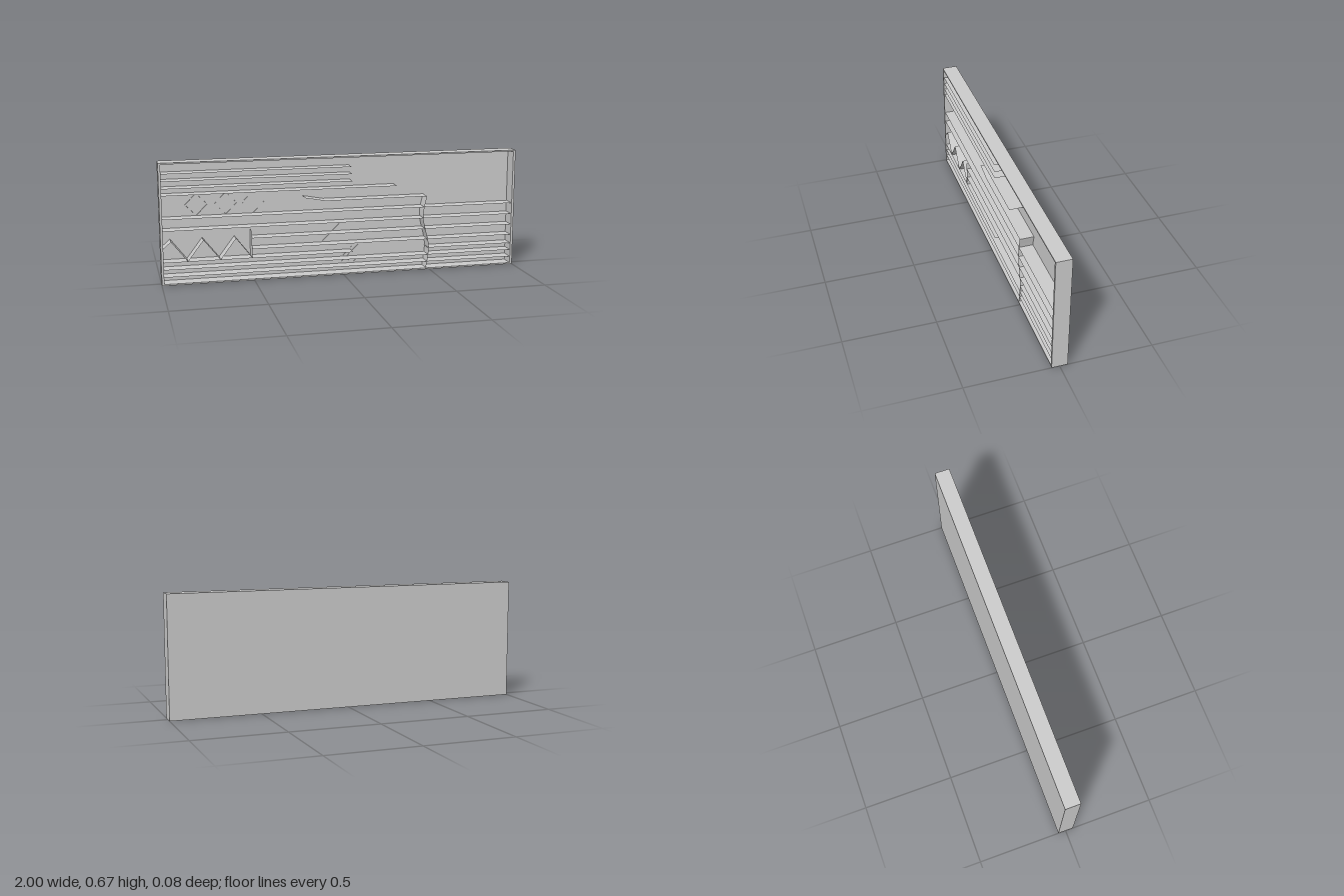
import * as THREE from 'three';

const W = 2, H = 0.665, D = 0.085;
const SIDE = 0.013, EDGE = 0.008;
const FLOOR = -0.037, FRONT = 0.04;
const IN = 1 - SIDE;

export function createModel() {
  const model = new THREE.Group();
  const mat = new THREE.MeshStandardMaterial({ color: 0xcccccc, flatShading: true });
  const thin = new THREE.MeshStandardMaterial({ color: 0xcccccc, flatShading: true, side: THREE.DoubleSide });

  const add = (name, geometry, material = mat) => {
    const mesh = new THREE.Mesh(geometry, material);
    mesh.name = name;
    model.add(mesh);
  };

  // Thin wall standing on the floor along a line of [x, y] points
  const wall = (name, points, top = FRONT) => {
    const pos = [], idx = [];
    points.forEach(([x, y], i) => {
      pos.push(x, y, FLOOR, x, y, top);
      if (i) {
        const a = 2 * (i - 1);
        idx.push(a, a + 2, a + 1, a + 1, a + 2, a + 3);
      }
    });
    const g = new THREE.BufferGeometry();
    g.setAttribute('position', new THREE.Float32BufferAttribute(pos, 3));
    g.setIndex(idx);
    const flat = g.toNonIndexed();
    flat.computeVertexNormals();
    add(name, flat, thin);
  };

  const smooth = (points, n) => new THREE.SplineCurve(points.map(p => new THREE.Vector2(...p)))
    .getPoints(n).map(p => [p.x, p.y]);

  // Tray: back panel and rim
  const back = FLOOR + D / 2;
  add('backPanel', new THREE.BoxGeometry(W, H, back).translate(0, H / 2, -D / 2 + back / 2));
  const frame = new THREE.Shape([[-1, 0], [1, 0], [1, H], [-1, H]].map(p => new THREE.Vector2(...p)));
  frame.holes.push(new THREE.Path([[-IN, EDGE], [-IN, H - EDGE], [IN, H - EDGE], [IN, EDGE]]
    .map(p => new THREE.Vector2(...p))));
  add('rim', new THREE.ExtrudeGeometry(frame, { depth: D / 2 - FLOOR, bevelEnabled: false }).translate(0, 0, FLOOR));

  // Horizontal shelves: height, start, end
  const shelves = [
    [0.605, -IN, 0.045], [0.565, -IN, 0.05], [0.525, -IN, 0.05], [0.488, -IN, 0.305],
    [0.36, -IN, IN], [0.297, -IN, IN],
    [0.235, -0.51, IN], [0.175, -0.51, IN],
    [0.125, -IN, 0.055], [0.125, 0.49, IN],
    [0.085, -IN, IN], [0.045, -IN, IN],
  ];
  for (const [y, x0, x1] of shelves) wall('shelf', [[x0, y], [x1, y]]);

  // Shelf with a curled left end, and the wavy divider hanging from its right end
  wall('curledShelf', [...smooth([[-0.215, 0.443], [-0.16, 0.433], [-0.1, 0.422]], 6), [0.48, 0.422]]);
  wall('wavyDivider', smooth([[0.48, 0.422], [0.461, 0.3], [0.494, 0.14], [0.48, EDGE]], 16));

  // Zigzag and its end wall
  wall('zigzag', [[-IN, 0.2], [-0.945, 0.238], [-0.857, 0.125], [-0.772, 0.238],
    [-0.682, 0.125], [-0.597, 0.238], [-0.51, 0.125]]);
  wall('zigzagEnd', [[-0.51, 0.125], [-0.51, 0.272]]);

  // Low diamond outlines on the floor: centre, radius, height
  const diamonds = [
    [-0.8, 0.422, 0.06, 0.008], [-0.64, 0.422, 0.06, 0.005], [-0.49, 0.422, 0.06, 0.003],
    [0, 0.168, 0.117, 0.005], [0.065, 0.092, 0.05, 0.003],
  ];
  for (const [x, y, r, h] of diamonds) {
    wall('diamond', [[x, y + r], [x + r, y], [x, y - r], [x - r, y], [x, y + r]], FLOOR + h);
  }

  return model;
}
